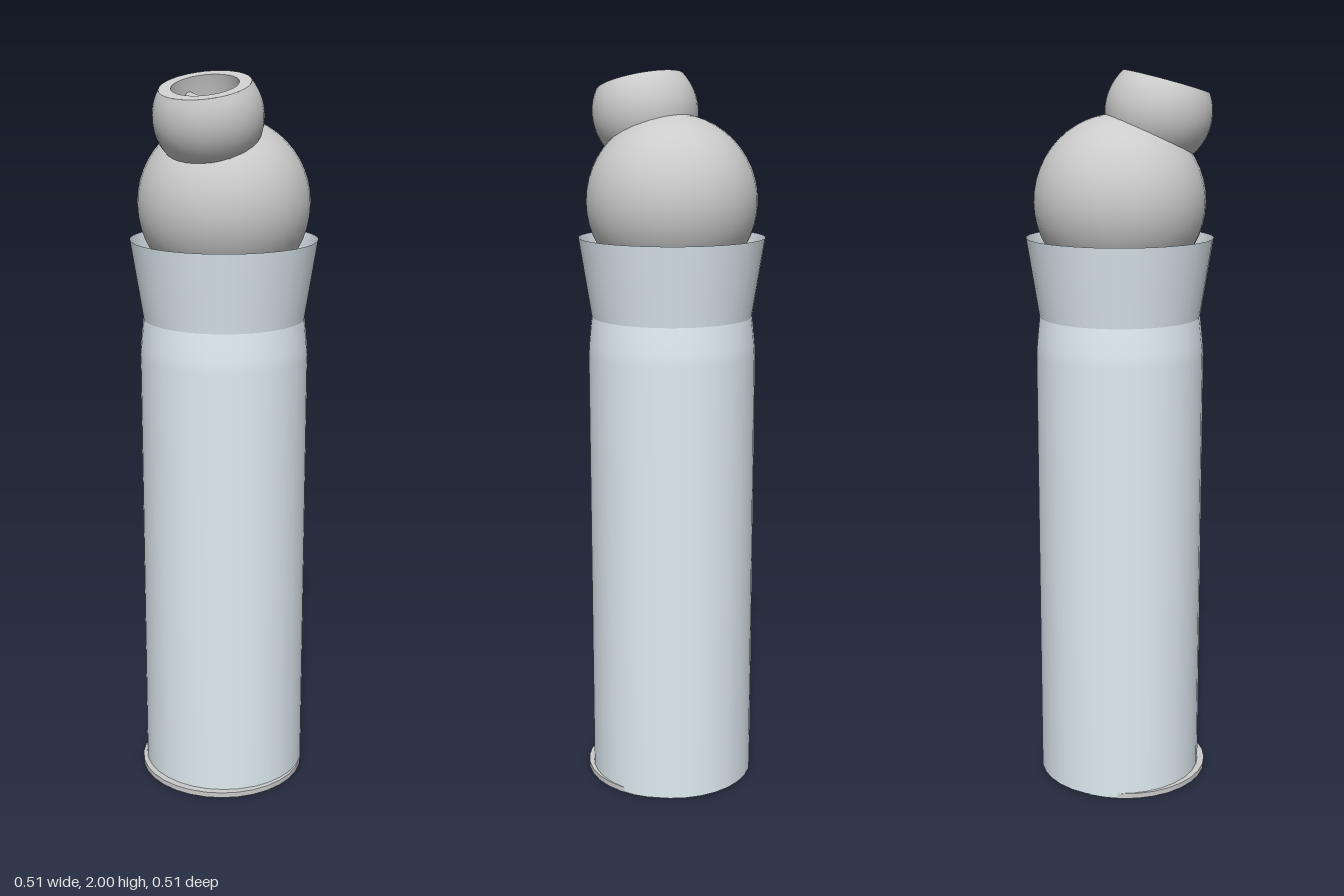
import * as THREE from 'three';

const SEGMENTS = 32;

function lathe(name, points, material) {
  const profile = points.map(([r, y]) => new THREE.Vector2(r, y));
  const mesh = new THREE.Mesh(new THREE.LatheGeometry(profile, SEGMENTS), material);
  mesh.name = name;
  return mesh;
}

export function createModel() {
  const model = new THREE.Group();
  model.name = 'bottle';
  const grey = new THREE.MeshStandardMaterial({ color: 0xcccccc });
  const pale = new THREE.MeshStandardMaterial({ color: 0xe0edf3, side: THREE.DoubleSide });

  // Thin base plate, set slightly forward
  const base = new THREE.Mesh(new THREE.CylinderGeometry(0.235, 0.235, 0.015, SEGMENTS), grey);
  base.name = 'basePlate';
  base.position.set(0, 0.0075, 0.016);
  model.add(base);

  // Tall tube narrowing to the neck, and the open flared collar
  const body = lathe('body', [
    [0.231, 0.004], [0.231, 1.24], [0.229, 1.27], [0.225, 1.31], [0.221, 1.345],
  ], pale);
  const collar = lathe('collar', [[0.221, 1.345], [0.255, 1.56]], pale);
  model.add(body, collar);

  // Large ball resting in the collar
  const ball = new THREE.Mesh(new THREE.SphereGeometry(0.233, SEGMENTS, 24), grey);
  ball.name = 'largeBall';
  ball.position.y = 1.655;
  model.add(ball);

  // Small hollow ball with a flat rim, tilted forward
  const cap = new THREE.Group();
  cap.name = 'hollowBall';
  cap.position.set(0, 1.89, 0.105);
  cap.rotation.x = THREE.MathUtils.degToRad(15);
  model.add(cap);

  const radius = 0.145, rimHeight = 0.081;
  const top = Math.asin(rimHeight / radius);
  const shell = [];
  for (let i = 0; i <= 18; i++) {
    const a = -Math.PI / 2 + (top + Math.PI / 2) * i / 18;
    shell.push([Math.max(0, radius * Math.cos(a)), radius * Math.sin(a)]);
  }
  cap.add(
    lathe('outerShell', shell, grey),
    lathe('rim', [[0.12, rimHeight], [0.088, rimHeight]], grey),
    lathe('cavity', [
      [0.088, rimHeight], [0.089, 0.04], [0.086, 0], [0.076, -0.05], [0.05, -0.08], [0, -0.095],
    ], grey),
  );

  // Two opposed pegs inside the cavity
  const pegs = new THREE.Group();
  pegs.name = 'pegs';
  pegs.position.y = 0.03;
  pegs.rotation.y = THREE.MathUtils.degToRad(-36);
  for (const side of [-1, 1]) {
    const peg = new THREE.Mesh(new THREE.CylinderGeometry(0.014, 0.014, 0.062, 16), grey);
    peg.name = side > 0 ? 'leftPeg' : 'rightPeg';
    peg.rotation.z = Math.PI / 2;
    peg.position.x = side * 0.069;
    pegs.add(peg);
  }
  cap.add(pegs);

  return model;
}
